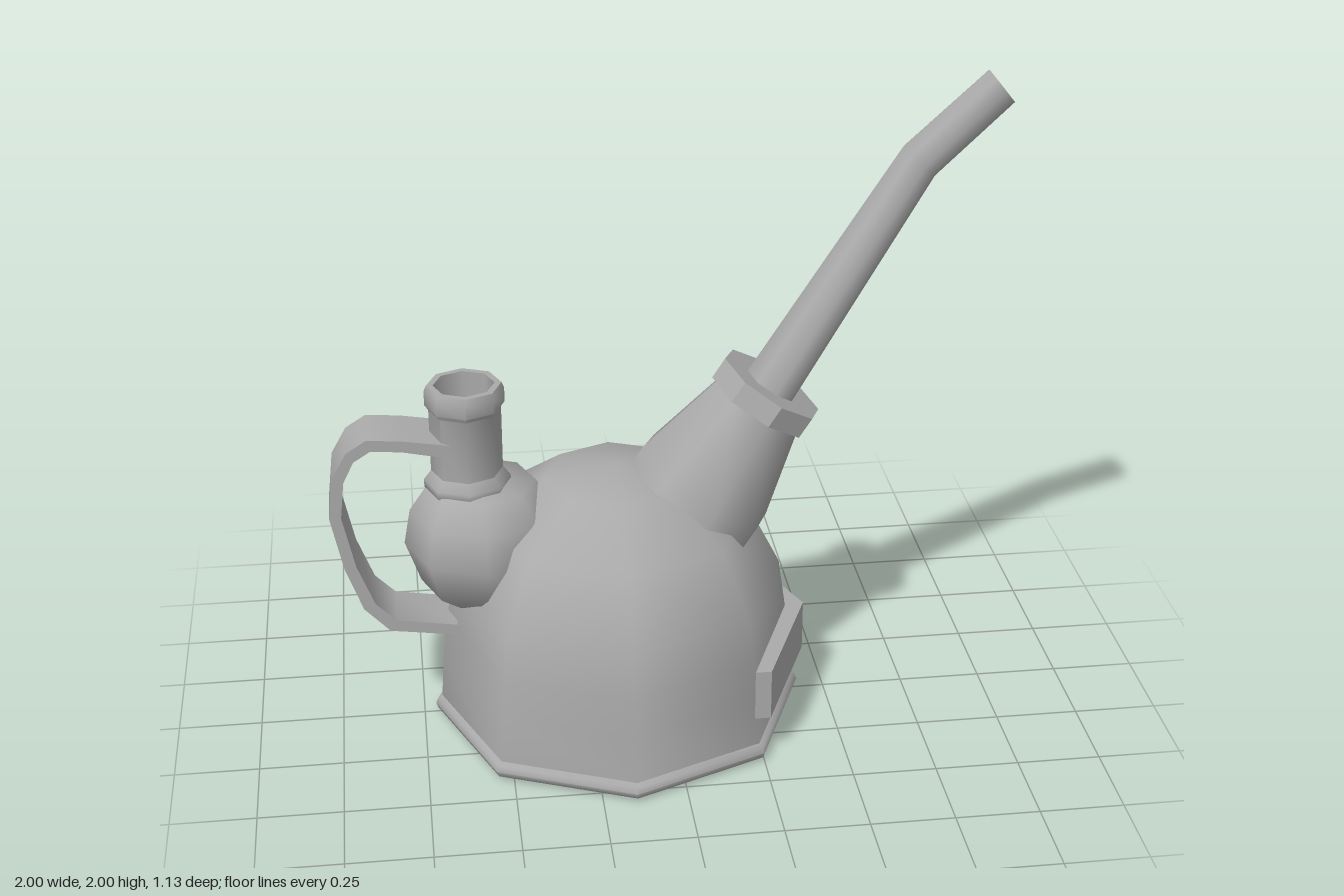
import * as THREE from 'three';
import { toCreasedNormals } from 'three/addons/utils/BufferGeometryUtils.js';

const SIDES = 8;

export function createModel() {
  const group = new THREE.Group();
  const metal = new THREE.MeshStandardMaterial({ color: 0xaaaaaa });
  metal.name = 'grey metal';

  function add(name, geometry, crease = 0.9) {
    const mesh = new THREE.Mesh(toCreasedNormals(geometry, crease), metal);
    mesh.name = name;
    group.add(mesh);
    return mesh;
  }
  // Eight-sided turned part; profile is [radius, height] from the bottom up
  function turned(name, profile, x, y, crease) {
    const pts = profile.map(([r, h]) => new THREE.Vector2(r, h));
    const mesh = add(name, new THREE.LatheGeometry(pts, SIDES), crease);
    mesh.position.set(x, y, 0);
    return mesh;
  }

  // Domed body and its rolled foot
  turned('body', [[0.545, 0.05], [0.535, 0.2], [0.52, 0.32], [0.5, 0.46],
    [0.4, 0.66], [0.215, 0.79], [0, 0.825]], -0.15, 0);
  turned('footRim', [[0, 0], [0.54, 0], [0.558, 0.012], [0.565, 0.03],
    [0.558, 0.048], [0.54, 0.06], [0.5, 0.06]], -0.15, 0);

  // Spout socket and collar, tilted along the spout
  const tilt = -Math.atan2(0.54, 0.84);
  const socket = turned('spoutSocket', [[0, -0.42], [0.225, -0.42], [0.225, -0.3], [0.145, 0.01]], 0.28, 1.0);
  const collar = turned('spoutCollar', [[0, 0], [0.168, 0], [0.168, 0.07], [0, 0.07]], 0.28, 1.0, 0.6);
  socket.rotation.z = collar.rotation.z = tilt;

  // Bent tapering spout: rings of [x, y, radius, dirX, dirY], turning back inside at the mouth
  const rings = [
    [0.30, 1.035, 0.086, 0.52, 0.854],
    [0.73, 1.738, 0.066, 0.66, 0.751],
    [0.957, 1.95, 0.063, 0.78, 0.626],
    [0.957, 1.95, 0.045, 0.78, 0.626],
    [0.918, 1.919, 0.045, 0.78, 0.626],
    [0.918, 1.919, 0.0, 0.78, 0.626],
  ];
  const pos = [], index = [];
  rings.forEach(([x, y, r, dx, dy], i) => {
    for (let j = 0; j < SIDES; j++) {
      const a = (j / SIDES) * Math.PI * 2, c = r * Math.cos(a);
      pos.push(x + c * dy, y - c * dx, -r * Math.sin(a));
      if (i < rings.length - 1) {
        const p = i * SIDES + j, q = i * SIDES + ((j + 1) % SIDES);
        index.push(p, q, p + SIDES, q, q + SIDES, p + SIDES);
      }
    }
  });
  const spout = new THREE.BufferGeometry();
  spout.setAttribute('position', new THREE.Float32BufferAttribute(pos, 3));
  spout.setIndex(index);
  add('spout', spout);

  // Filler bulb with its neck and open lip
  turned('fillerBulb', [[0, 0.38], [0.1, 0.4], [0.19, 0.47], [0.235, 0.6],
    [0.215, 0.71], [0.16, 0.79], [0, 0.81]], -0.55, 0, 1.1);
  turned('neckRing', [[0.1, 0.76], [0.128, 0.785], [0.128, 0.81], [0.105, 0.84]], -0.59, 0, 1.1);
  turned('fillerNeck', [[0.106, 0.78], [0.106, 1.035], [0.117, 1.05], [0.117, 1.095],
    [0.11, 1.112], [0.09, 1.112], [0.09, 0.86], [0, 0.86]], -0.59, 0);

  // Extrudes an x-y outline through a depth centred on zero
  function slab(points, depth) {
    const shape = new THREE.Shape(points.map(([x, y]) => new THREE.Vector2(x, y)));
    return new THREE.ExtrudeGeometry(shape, { depth, bevelEnabled: false })
      .translate(0, 0, -depth / 2);
  }

  // Strap handle from neck to body
  const outer = [[-0.64, 0.322], [-0.84, 0.35], [-0.915, 0.43], [-0.965, 0.57], [-1, 0.74],
    [-0.985, 0.87], [-0.94, 0.95], [-0.88, 0.988], [-0.78, 0.98], [-0.64, 0.957]];
  const inner = [[-0.64, 0.915], [-0.78, 0.945], [-0.87, 0.952], [-0.92, 0.92], [-0.952, 0.855],
    [-0.965, 0.74], [-0.93, 0.575], [-0.88, 0.445], [-0.82, 0.385], [-0.64, 0.356]];
  add('handle', slab([...outer, ...inner], 0.174), 0.7);

  // Angled plate wrapped round the spout side of the body
  const plate = slab([[0.22, -0.385], [0.268, -0.385], [0.43, 0], [0.268, 0.385],
    [0.22, 0.385], [0.375, 0]], 0.16);
  plate.rotateX(-Math.PI / 2).translate(0, 0.225, 0);
  add('sidePlate', plate, 0.5);

  return group;
}
